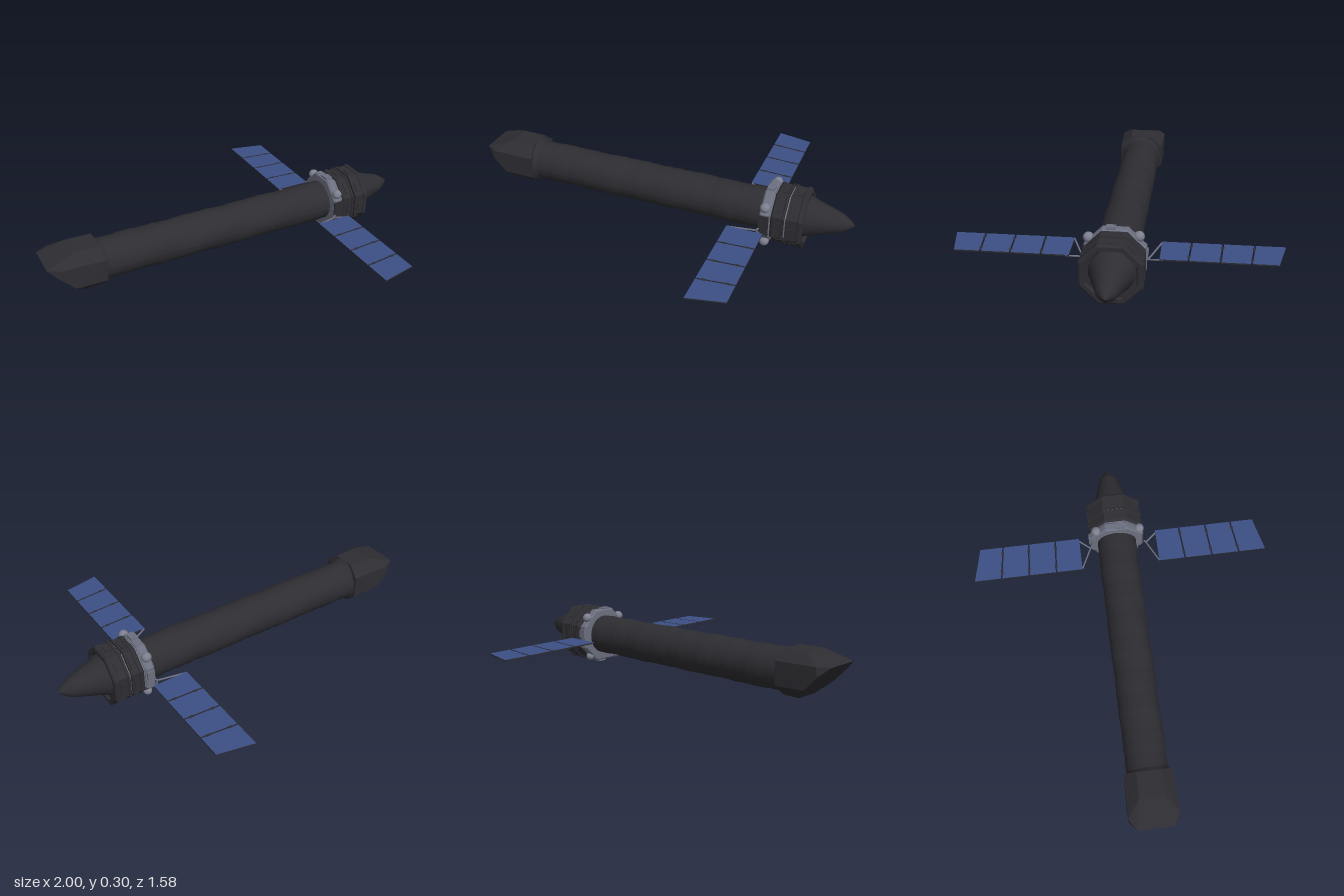
import * as THREE from 'three';
import { ConvexGeometry } from 'three/addons/geometries/ConvexGeometry.js';

const AXIS_Y = 0.16, AXIS_Z = -0.006;

const mat = (name, color, side = THREE.FrontSide) => {
  const m = new THREE.MeshStandardMaterial({ color, side });
  m.name = name;
  return m;
};

export function createModel() {
  const model = new THREE.Group();
  model.name = 'spaceTelescope';
  const dark = mat('charcoal foil', 0x2d2d32);
  const blue = mat('solar blue', 0x3c4f84);
  const grey = mat('equipment grey', 0x6c6f7f);
  const silver = mat('tank silver', 0x7d7f8e);

  const add = (name, geometry, material, parent = model) => {
    const mesh = new THREE.Mesh(geometry, material);
    mesh.name = name;
    parent.add(mesh);
    return mesh;
  };

  // Turned body along x from [x, radius] pairs; faceted if sides is 8
  const turned = (profile, sides) => {
    const pts = profile.map(([x, r]) => new THREE.Vector2(r, x));
    let g = new THREE.LatheGeometry(pts, sides, Math.PI / sides);
    g.rotateZ(-Math.PI / 2);
    g.translate(0, AXIS_Y, AXIS_Z);
    if (sides === 8) {
      g = g.toNonIndexed();
      g.computeVertexNormals();
    }
    return g;
  };

  // Foil-wrapped barrel with gentle, irregular wrinkles
  const wrinkles = [];
  for (let i = 0; i <= 64; i++) {
    const r = 0.104 + 0.0012 * Math.sin(i * 2.1) + 0.0012 * Math.sin(i * 0.83 + 1);
    wrinkles.push([-0.74 + 1.31 * i / 64, r]);
  }
  const barrel = turned(wrinkles, 40);
  const pos = barrel.attributes.position;
  for (let i = 0; i < pos.count; i++) {
    const y = pos.getY(i) - AXIS_Y, z = pos.getZ(i) - AXIS_Z;
    const a = Math.atan2(z, y);
    const s = 1 + 0.013 * Math.sin(3 * a + 17 * pos.getX(i));
    pos.setY(i, AXIS_Y + 0.004 + y * s);
    pos.setZ(i, AXIS_Z - 0.002 + z * s);
  }
  barrel.computeVertexNormals();
  add('barrel', barrel, dark);

  // Faceted hood with its slanted mouth
  const hood = [];
  const hoodHalf = [
    [-0.73, 0.28, 0.06], [-0.72, 0.228, 0.12], [-0.72, 0.112, 0.12], [-0.73, 0.06, 0.06],
    [-0.86, 0.28, 0.065], [-0.94, 0.235, 0.126], [-0.95, 0.19, 0.126],
    [-0.88, 0.118, 0.126], [-0.82, 0.06, 0.065], [-1, 0.235, 0.09],
  ];
  for (const [x, y, z] of hoodHalf) {
    for (const s of [-1, 1]) hood.push(new THREE.Vector3(x, y, AXIS_Z + s * z));
  }
  add('hood', new ConvexGeometry(hood), dark);
  add('hoodCollar', turned([[-0.73, 0.12], [-0.715, 0.112], [-0.7, 0.103]], 24), dark);

  // Grey equipment ring and the core that shows in the seams
  add('equipmentRing', turned([[0.555, 0.1], [0.557, 0.148], [0.565, 0.156],
    [0.595, 0.156], [0.605, 0.148], [0.607, 0.1]], 8), grey);
  add('busCore', turned([[0.6, 0.142], [0.75, 0.142]], 8), grey);

  // Two octagonal bus sections with raised rims
  add('busRear', turned([[0.612, 0.1], [0.613, 0.148], [0.622, 0.156], [0.636, 0.156],
    [0.639, 0.15], [0.668, 0.15], [0.671, 0.157], [0.68, 0.157], [0.682, 0.1]], 8), dark);
  add('busFront', turned([[0.688, 0.1], [0.689, 0.157], [0.7, 0.157], [0.703, 0.151],
    [0.745, 0.151], [0.748, 0.157], [0.764, 0.157], [0.771, 0.148], [0.771, 0.128],
    [0.758, 0.122], [0.758, 0]], 8), dark);

  // Nose cone with a blunt tip
  const nose = turned([[0.755, 0.108], [0.785, 0.098], [0.81, 0.088], [0.93, 0.051],
    [0.945, 0.044], [0.985, 0.016], [1, 0]], 20);
  nose.translate(0, 0.012, -0.004);
  add('noseCone', nose, dark);

  // Boxes and cover plates round the ring and bus
  for (let i = 0; i < 8; i++) {
    const face = new THREE.Group();
    face.name = 'ringFace' + i;
    face.position.set(0, AXIS_Y, AXIS_Z);
    face.rotation.x = i * Math.PI / 4;
    model.add(face);
    const box = (name, x, y, z, w, h, d, m) =>
      add(name, new THREE.BoxGeometry(w, h, d), m, face).position.set(x, y, z);
    if (i === 2) box('sideCover', 0.581, 0.145, 0, 0.05, 0.008, 0.11, dark);
    else if (i % 2 === 0) box('ringBox', 0.581, 0.144, 0.02, 0.038, 0.014, 0.045, grey);
    box('busHatch', 0.654, 0.139, 0, 0.025, 0.008, 0.06, dark);
    box('busHatch', 0.724, 0.14, 0.012, 0.03, 0.008, 0.045, dark);
  }

  // Round propellant tanks
  for (const [y, z, r] of [[0.25, 0.118, 0.025], [0.265, -0.115, 0.025],
    [0.035, 0.088, 0.025], [0.045, -0.1, 0.022]]) {
    add('tank', new THREE.SphereGeometry(r, 20, 14), silver).position.set(0.58, y, z);
  }

  const rod = (parent, a, b) => {
    const path = new THREE.LineCurve3(new THREE.Vector3(...a), new THREE.Vector3(...b));
    add('strut', new THREE.TubeGeometry(path, 1, 0.0045, 8), grey, parent);
  };

  // Solar wings: four skewed panels each, joined by dark hinges
  const inner = [0.205, 0.35, 0.497, 0.645, 0.793];
  const outer = [0.205, 0.34, 0.485, 0.625, 0.753];
  for (const s of [1, -1]) {
    const wing = new THREE.Group();
    wing.name = s > 0 ? 'frontSolarWing' : 'backSolarWing';
    model.add(wing);
    for (let i = 0; i < 4; i++) {
      const gap = 0.004;
      const shape = new THREE.Shape([
        [0.417, inner[i] + gap], [0.6, outer[i] + gap],
        [0.6, outer[i + 1] - gap], [0.417, inner[i + 1] - gap],
      ].map(([x, z]) => new THREE.Vector2(x, -s * z)));
      const g = new THREE.ExtrudeGeometry(shape, { depth: 0.007, bevelEnabled: false });
      g.rotateX(-Math.PI / 2);
      g.translate(0, 0.156, 0);
      add('solarPanel', g, [blue, dark], wing);
      if (i > 0) {
        for (const t of [0.2, 0.8]) {
          const hinge = add('hinge', new THREE.BoxGeometry(0.02, 0.009, 0.014), dark, wing);
          hinge.position.set(0.417 + 0.183 * t, 0.159, s * (inner[i] + (outer[i] - inner[i]) * t));
        }
      }
    }
    // V-shaped yoke holding the wing to the ring
    const elbow = [0.55, 0.133, s * 0.153];
    rod(wing, [0.42, 0.159, s * 0.21], elbow);
    rod(wing, [0.6, 0.159, s * 0.225], elbow);
    rod(wing, elbow, [0.572, 0.145, s * 0.128]);
  }

  return model;
}
